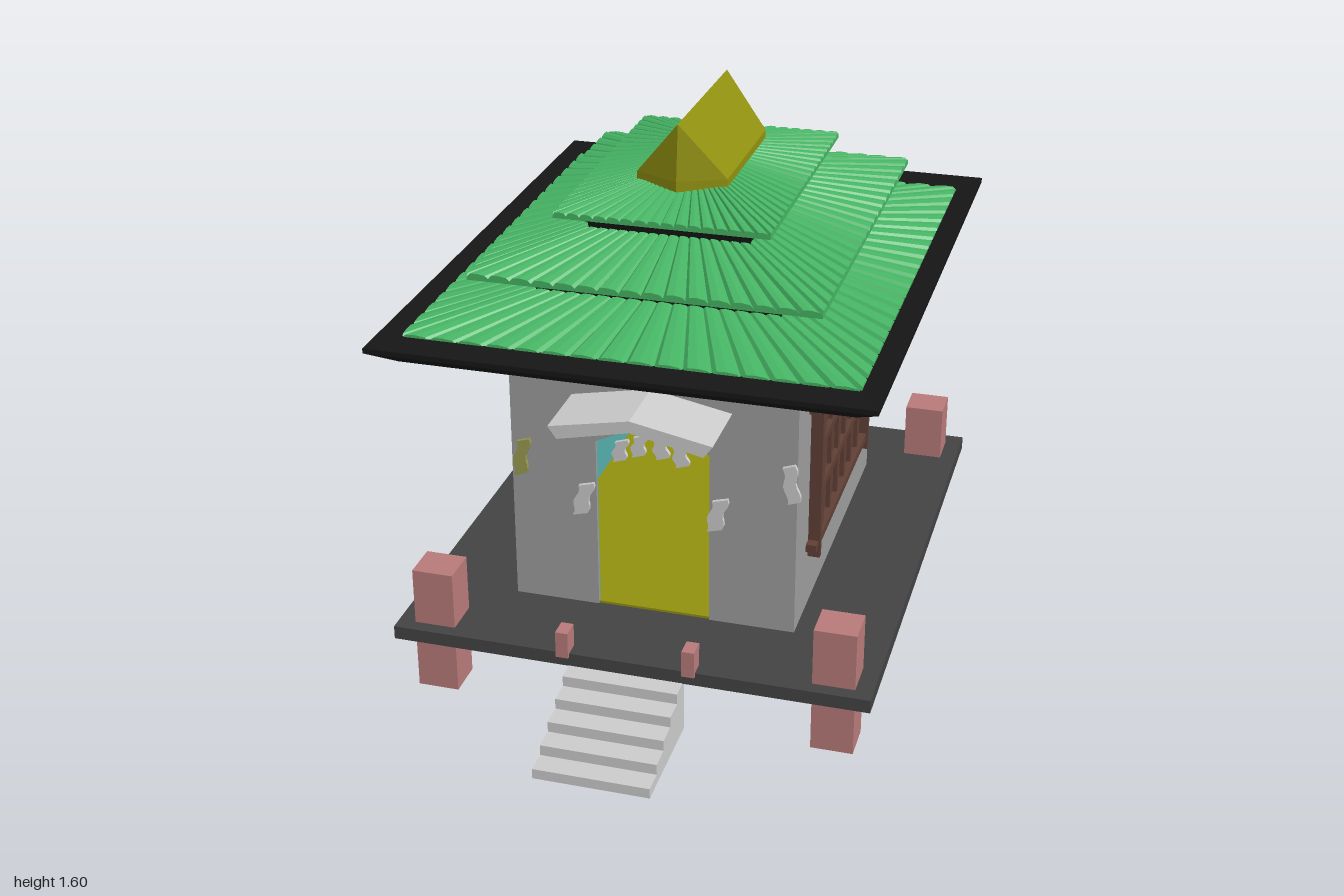
import * as THREE from 'three';
import { ConvexGeometry } from 'three/addons/geometries/ConvexGeometry.js';

const ZC = -0.125; // centre line of the building in z
const mats = {};
const mat = (color) => (mats[color] ??= new THREE.MeshStandardMaterial({ color, flatShading: true, side: THREE.DoubleSide }));
const BLACK = 0x161616, GREEN = 0x46b464, OLIVE = 0x90900f, PINK = 0xb87a7a, GREY = 0xcccccc;

function add(parent, name, geometry, color) {
  const mesh = new THREE.Mesh(geometry, mat(color));
  mesh.name = name;
  parent.add(mesh);
  return mesh;
}

// Box given by its limits on each axis
function box(parent, name, color, [x0, x1], [y0, y1], [z0, z1]) {
  const g = new THREE.BoxGeometry(x1 - x0, y1 - y0, z1 - z0);
  g.translate((x0 + x1) / 2, (y0 + y1) / 2, (z0 + z1) / 2);
  return add(parent, name, g, color);
}

function group(parent, name) {
  const g = new THREE.Group();
  g.name = name;
  parent.add(g);
  return g;
}

function quadGeometry(quads) {
  const pos = [];
  for (const [a, b, c, d] of quads) pos.push(...a, ...b, ...c, ...a, ...c, ...d);
  const g = new THREE.BufferGeometry();
  g.setAttribute('position', new THREE.Float32BufferAttribute(pos, 3));
  g.computeVertexNormals();
  return g;
}

const CORNERS = [[1, 1], [1, -1], [-1, -1], [-1, 1]];
const corner = ([hx, hz, y], k) => [CORNERS[k % 4][0] * hx, y, ZC + CORNERS[k % 4][1] * hz];
const mix = (a, b, t) => a.map((v, i) => v + (b[i] - v) * t);

// Rectangular rings [halfX, halfZ, y] joined into a four-sided shell
function rectLoft(rings) {
  const quads = [];
  for (let r = 0; r < rings.length - 1; r++)
    for (let k = 0; k < 4; k++)
      quads.push([corner(rings[r], k), corner(rings[r], k + 1), corner(rings[r + 1], k + 1), corner(rings[r + 1], k)]);
  return quadGeometry(quads);
}

// Fan of tapering raised tiles between an eave ring and an upper ring
function tileFan(eave, top, height) {
  const quads = [];
  const profile = [[0, 0], [0.15, 0.9], [0.5, 1], [0.85, 0.7], [1, 0]];
  for (let k = 0; k < 4; k++) {
    const n = k % 2 ? 16 : 20;
    const e = [corner(eave, k), corner(eave, k + 1)], t = [corner(top, k), corner(top, k + 1)];
    const at = (line, u, h) => { const p = mix(line[0], line[1], u); p[1] += h; return p; };
    for (let i = 0; i < n; i++)
      for (let j = 0; j < profile.length - 1; j++) {
        const [u0, h0] = profile[j], [u1, h1] = profile[j + 1];
        const a = (i + u0) / n, b = (i + u1) / n;
        const e0 = at(e, a, h0 * height), e1 = at(e, b, h1 * height);
        quads.push([e0, e1, at(t, b, h1 * height * 0.5), at(t, a, h0 * height * 0.5)]);
        quads.push([at(e, a, -0.008), at(e, b, -0.008), e1, e0]);
      }
  }
  return quadGeometry(quads);
}

function polygon(points) {
  return new THREE.Shape(points.map(([x, y]) => new THREE.Vector2(x, y)));
}

function extrude(shape, depth, z) {
  return new THREE.ExtrudeGeometry(shape, { depth, bevelEnabled: false }).translate(0, 0, z);
}

// Four thin walls with a pointed doorway in front
function walls(parent, name, color, hx, hz, t) {
  const g = group(parent, name), y = [0.21, 1.045];
  for (const s of [-1, 1]) box(g, 'sideWall', color, [s * hx - (s > 0 ? t : 0), s * hx + (s < 0 ? t : 0)], y, [ZC - hz, ZC + hz]);
  box(g, 'backWall', color, [-hx, hx], y, [ZC - hz, ZC - hz + t]);
  const front = polygon([[-hx, 0.21], [-0.165, 0.21], [-0.165, 0.74], [-0.09, 0.775], [0, 0.79], [0.09, 0.775],
    [0.165, 0.74], [0.165, 0.21], [hx, 0.21], [hx, 1.045], [-hx, 1.045]]);
  add(g, 'frontWall', extrude(front, t, ZC + hz - t), color);
}

// Wavy hanging paper strip from (x0, y0) to (x1, y1)
function ribbon(parent, x0, y0, x1, y1, w, color = GREY) {
  const left = [], right = [];
  for (let i = 0; i <= 8; i++) {
    const t = i / 8, x = x0 + (x1 - x0) * t + 0.005 * Math.sin(t * 9), y = y0 + (y1 - y0) * t;
    left.push([x - w / 2, y - 0.006]);
    right.unshift([x + w / 2, y + 0.006]);
  }
  add(parent, 'ribbon', extrude(polygon([...left, ...right]), 0.012, 0.411), color);
}

// Wooden lattice on one side wall
function lattice(parent, s, color) {
  const g = group(parent, s > 0 ? 'leftLattice' : 'rightLattice');
  const bx = (a, b) => (s > 0 ? [a, b] : [-b, -a]);
  box(g, 'backPanel', color, bx(0.414, 0.422), [0.4, 0.86], [-0.475, 0.245]);
  for (let i = 0; i <= 7; i++) {
    const z = 0.235 - i * 0.1, end = i % 7 === 0;
    box(g, 'upright', color, bx(0.415, end ? 0.45 : 0.434), end ? [0.37, 0.89] : [0.4, 0.86], [z - 0.01, z + 0.01]);
  }
  for (let i = 0; i <= 3; i++) {
    const y = 0.412 + i * 0.146, end = i % 3 === 0, r = end ? 0.39 : 0.36;
    box(g, 'rail', color, bx(0.415, end ? 0.445 : 0.438), [y - 0.012, y + 0.012], [-0.115 - r, -0.115 + r]);
  }
}

export function createModel() {
  const model = new THREE.Group();
  model.name = 'pagoda';

  // Platform and posts
  box(model, 'platform', 0x434343, [-0.69, 0.69], [0.17, 0.21], [-0.93, 0.68]);
  for (const s of [-1, 1]) {
    const x = s * 0.58;
    for (const z of [0.585, -0.82]) box(model, 'post', PINK, [x - 0.06, x + 0.06], [0, 0.38], [z - 0.056, z + 0.056]);
    box(model, 'stairPost', PINK, [s * 0.182 - 0.018, s * 0.182 + 0.018], [0.2, 0.28], [0.635, 0.69]);
  }

  // Stairs, hollow underneath
  const stairs = group(model, 'stairs');
  for (let i = 0; i < 5; i++) {
    const z1 = 1 - i * 0.066, z0 = z1 - 0.07, y = 0.045 + i * 0.0315;
    const foot = i ? y - 0.0315 : 0.015;
    box(stairs, 'tread', GREY, [-0.165, 0.165], [y - 0.004, y], [z0, z1]);
    box(stairs, 'riser', GREY, [-0.165, 0.165], [foot, y], [z1 - 0.004, z1]);
    for (const s of [-1, 1]) box(stairs, 'stairSide', GREY, [s * 0.163 - 0.002, s * 0.163 + 0.002], [0.015, y], [z0, z1]);
  }

  // Hall with coloured lining, floor and dark rear panel
  walls(model, 'outerWalls', 0x9c9c9c, 0.415, 0.53, 0.012);
  walls(model, 'innerLining', 0x55adad, 0.403, 0.518, 0.004);
  box(model, 'floor', OLIVE, [-0.4, 0.4], [0.21, 0.217], [-0.64, 0.4]);
  box(model, 'rearPanel', BLACK, [-0.162, 0.158], [0.217, 0.67], [-0.636, -0.61]);
  lattice(model, 1, 0x603f36);
  lattice(model, -1, 0x6c2a24);

  // Bent canopy over the door
  const canopy = polygon([[-0.23, 0.88], [-0.205, 0.845], [0, 0.89], [0.205, 0.845], [0.23, 0.88], [0, 0.925]]);
  add(model, 'doorCanopy', extrude(canopy, 0.205, 0.41), GREY);

  // Hanging ribbons on the front
  const ribbons = group(model, 'ribbons');
  ribbon(ribbons, -0.19, 0.607, -0.212, 0.51, 0.045);
  ribbon(ribbons, 0.2, 0.612, 0.182, 0.515, 0.045);
  ribbon(ribbons, 0.393, 0.745, 0.408, 0.635, 0.035);
  ribbon(ribbons, 0, 0.885, 0.005, 0.785, 0.038);
  ribbon(ribbons, -0.375, 0.722, -0.39, 0.612, 0.038, 0x9a9a50);
  for (const [x, y] of [[-0.085, 0.758], [-0.03, 0.78], [0.025, 0.782], [0.082, 0.765]])
    ribbon(ribbons, x, y, x + Math.sign(x) * 0.008, y - 0.062, 0.038);

  // Three roof tiers: dark flared tray below, green tiles above
  const roof = group(model, 'roof');
  add(roof, 'lowerEave', rectLoft([[0.55, 0.735, 1.045], [0.565, 0.75, 1.04], [0.62, 0.805, 1.052], [0.69, 0.875, 1.098],
    [0.69, 0.875, 1.112], [0.62, 0.76, 1.106]]), BLACK);
  box(roof, 'soffit', GREEN, [-0.56, 0.56], [1.037, 1.043], [ZC - 0.745, ZC + 0.745]);
  add(roof, 'lowerTiles', tileFan([0.625, 0.765, 1.103], [0.34, 0.465, 1.155], 0.012), GREEN);
  add(roof, 'middleEave', rectLoft([[0.345, 0.47, 1.145], [0.35, 0.475, 1.173], [0.443, 0.56, 1.228], [0.488, 0.618, 1.23]]), BLACK);
  add(roof, 'middleTiles', tileFan([0.49, 0.62, 1.236], [0.225, 0.35, 1.305], 0.012), GREEN);
  add(roof, 'upperEave', rectLoft([[0.228, 0.353, 1.295], [0.232, 0.357, 1.322], [0.28, 0.405, 1.357], [0.303, 0.435, 1.36]]), BLACK);
  add(roof, 'upperTiles', tileFan([0.305, 0.437, 1.365], [0.12, 0.23, 1.41], 0.01), GREEN);

  // Ridge cap with pointed ends
  const cap = [];
  for (const s of [-1, 1]) {
    for (const y of [1.405, 1.435]) {
      cap.push(new THREE.Vector3(-0.13, y, ZC + s * 0.22), new THREE.Vector3(0.13, y, ZC + s * 0.22));
      cap.push(new THREE.Vector3(0, y, ZC + s * 0.28));
    }
    cap.push(new THREE.Vector3(0, 1.595, ZC + s * 0.263));
  }
  add(roof, 'ridgeCap', new ConvexGeometry(cap), OLIVE);
  return model;
}
